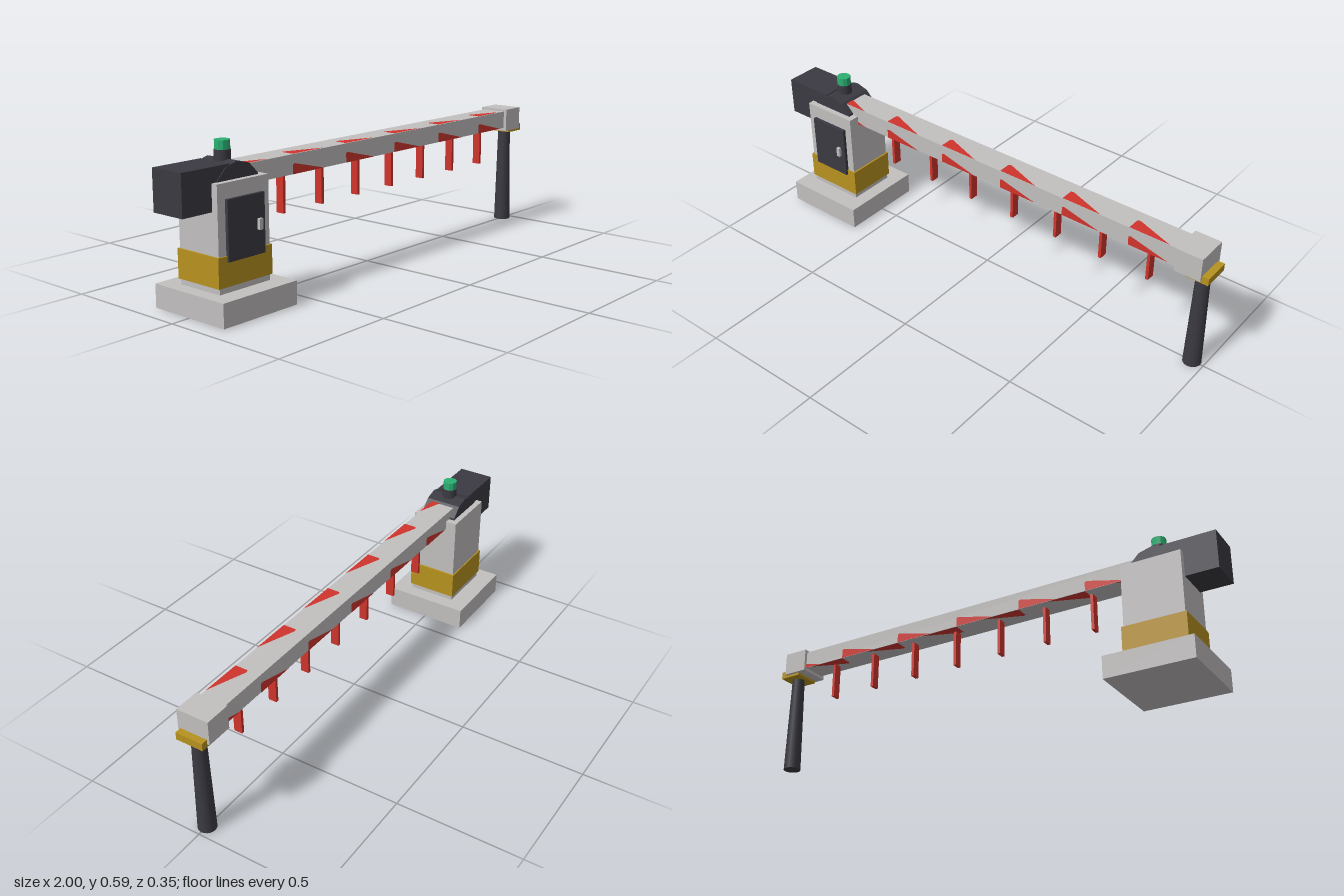
import * as THREE from 'three';

const mat = (name, color) => {
  const m = new THREE.MeshStandardMaterial({ color });
  m.name = name;
  return m;
};

export function createModel() {
  const grey = mat('light grey', 0xc2bfbf);
  const dark = mat('charcoal', 0x3b3a42);
  const gold = mat('ochre', 0xb8921f);
  const red = mat('red', 0xd0342c);
  const green = mat('green', 0x2bb073);

  const root = new THREE.Group();
  root.name = 'barrierGate';

  const add = (name, geometry, material, x = 0, y = 0, z = 0, parent = root) => {
    const mesh = new THREE.Mesh(geometry, material);
    mesh.name = name;
    mesh.position.set(x, y, z);
    parent.add(mesh);
    return mesh;
  };
  // box given by its limits on each axis
  const box = (name, material, x0, x1, y0, y1, z0, z1) =>
    add(name, new THREE.BoxGeometry(x1 - x0, y1 - y0, z1 - z0), material,
      (x0 + x1) / 2, (y0 + y1) / 2, (z0 + z1) / 2);
  const faceted = (geometry) => {
    const g = geometry.toNonIndexed();
    g.computeVertexNormals();
    return g;
  };

  // cabinet on its plinth
  box('plinth', grey, -0.925, -0.58, 0, 0.088, -0.173, 0.173);
  box('cabinet', grey, -0.872, -0.636, 0.088, 0.467, -0.098, 0.098);
  box('cabinetBand', gold, -0.879, -0.629, 0.11, 0.218, -0.103, 0.103);
  box('door', dark, -0.838, -0.668, 0.197, 0.412, 0.097, 0.111);
  box('doorHandle', grey, -0.704, -0.688, 0.285, 0.324, 0.11, 0.123);

  // pivot, counterweight and signal lamp
  const pivotX = -0.755;
  const hub = new THREE.CylinderGeometry(0.105, 0.105, 0.15, 12);
  hub.rotateX(Math.PI / 2);
  add('pivotHub', faceted(hub), dark, pivotX, 0.422, 0);
  box('counterweight', dark, -1, -0.79, 0.37, 0.522, -0.072, 0.072);
  add('lampCollar', new THREE.CylinderGeometry(0.029, 0.03, 0.045, 20), dark, pivotX, 0.5365, 0);
  add('lamp', faceted(new THREE.CylinderGeometry(0.028, 0.028, 0.035, 10)), green, pivotX, 0.5745, 0);

  // boom
  const length = 1.716, height = 0.073, depth = 0.104;
  const boom = new THREE.Group();
  boom.name = 'boom';
  boom.position.set(pivotX + length / 2, 0.4685, 0);
  root.add(boom);
  add('boomBeam', new THREE.BoxGeometry(length, height, depth), grey, 0, 0, 0, boom);

  // one row of slanted warning wedges per long face, along its lower edge
  const stripes = (name, faceHeight, offset, rx, ry) => {
    const shapes = [];
    for (let i = 0; i < 6; i++) {
      const u = -length / 2 + i * length / 6, v = -faceHeight / 2;
      shapes.push(new THREE.Shape([
        new THREE.Vector2(u, v),
        new THREE.Vector2(u + 0.163, v),
        new THREE.Vector2(u + 0.01, v + faceHeight * 0.54),
        new THREE.Vector2(u, v + faceHeight * 0.5),
      ]));
    }
    const g = new THREE.ShapeGeometry(shapes);
    g.translate(0, 0, offset + 0.0015);
    g.rotateX(rx);
    g.rotateY(ry);
    add(name, g, red, 0, 0, 0, boom);
  };
  stripes('frontStripes', height, depth / 2, 0, 0);
  stripes('backStripes', height, depth / 2, 0, Math.PI);
  stripes('topStripes', depth, height / 2, -Math.PI / 2, 0);
  stripes('bottomStripes', depth, height / 2, Math.PI / 2, 0);

  // hanging slats under the boom
  for (let i = 0; i < 7; i++) {
    const x = -0.478 + i * 0.2035;
    box('hangingSlat', red, x - 0.006, x + 0.006, 0.285, 0.436, -0.017, 0.017);
  }

  // boom tip and its rest post
  box('boomTip', grey, 0.87, 0.974, 0.419, 0.514, -0.065, 0.065);
  box('restCradle', gold, 0.908, 1, 0.408, 0.438, -0.055, 0.055);
  add('restPost', new THREE.CylinderGeometry(0.026, 0.035, 0.41, 20), dark, 0.953, 0.205, 0);

  return root;
}
